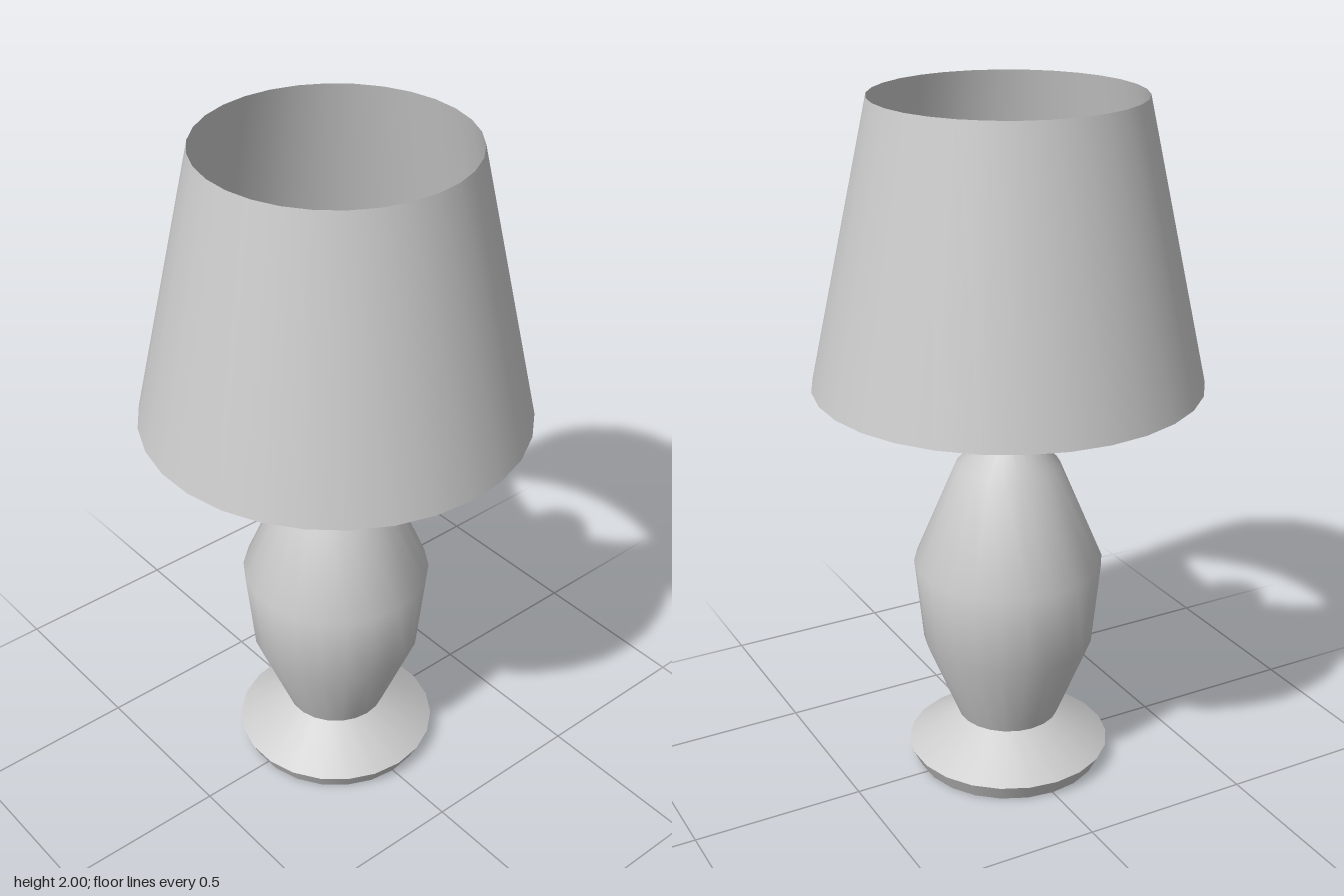
import * as THREE from 'three';

export function createModel() {
  const lamp = new THREE.Group();
  lamp.name = 'tableLamp';

  const grey = new THREE.MeshStandardMaterial({ color: 0xcccccc });
  grey.name = 'light grey';
  const shadeGrey = grey.clone();
  shadeGrey.name = 'shade light grey';
  shadeGrey.side = THREE.DoubleSide;

  const add = (name, geometry, material = grey) => {
    const mesh = new THREE.Mesh(geometry, material);
    mesh.name = name;
    lamp.add(mesh);
    return mesh;
  };
  // Surface of revolution from [radius, height] pairs, bottom to top
  const turned = (points, sides) =>
    new THREE.LatheGeometry(points.map(([r, y]) => new THREE.Vector2(r, y)), sides);

  // Foot: flat underside, flared rim and sloping top, with sharp edges between
  add('footUnderside', turned([[0, 0], [0.275, 0]], 22));
  add('footRim', turned([[0.275, 0], [0.3, 0.05]], 22));
  add('footSlope', turned([[0.3, 0.05], [0.15, 0.15]], 22));

  // Smooth vase-shaped body
  add('body', turned([[0.15, 0.15], [0.25, 0.4], [0.275, 0.65], [0.15, 0.95], [0.05, 1.05]], 22));

  // Neck
  add('neck', new THREE.CylinderGeometry(0.05, 0.05, 0.25, 22)).position.y = 1.175;

  // Bulb, floating inside the shade
  const bulb = add('bulb', new THREE.SphereGeometry(0.125, 10, 10));
  bulb.position.y = 1.5;
  bulb.rotation.y = Math.PI / 2;

  // Open conical shade
  add('shade', turned([[0.55, 1.2], [0.375, 2]], 30), shadeGrey);

  return lamp;
}
